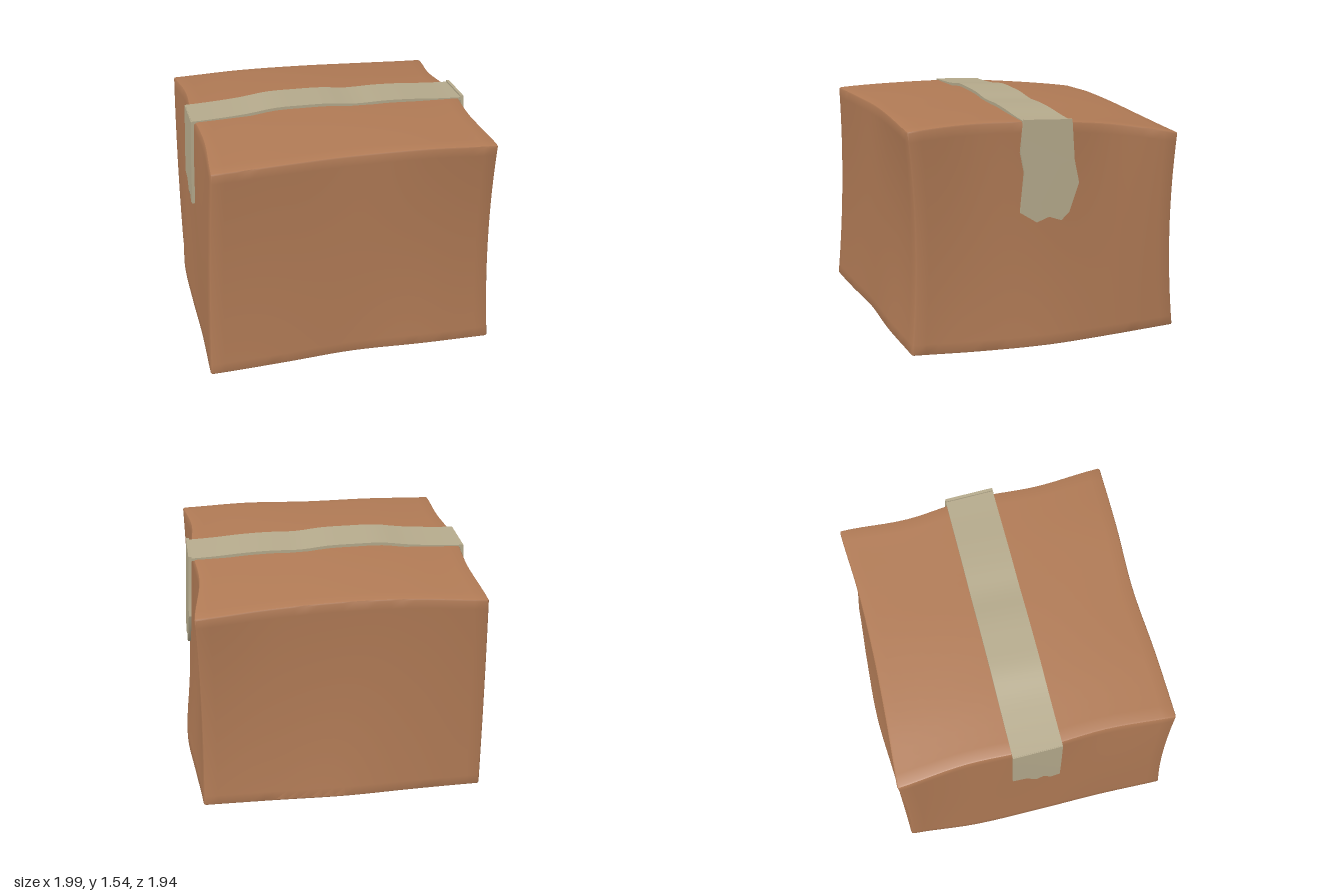
import * as THREE from 'three';
import { toCreasedNormals } from 'three/addons/utils/BufferGeometryUtils.js';

// Each side of the carton is a small relief: three rows, five columns.
const SIDES = {
  right: [[0.94, 0.97, 1.0, 0.98, 0.94], [0.93, 0.915, 0.925, 0.915, 0.92], [0.95, 0.89, 0.915, 0.89, 0.93]], // bottom-top, back-front
  left: [[-0.94, -0.985, -0.99, -0.985, -0.995], [-0.95, -0.95, -0.95, -0.96, -0.97], [-0.94, -0.91, -0.93, -0.91, -0.935]],
  front: [[0.965, 0.965, 0.95, 0.955, 0.925], [0.92, 0.92, 0.91, 0.9, 0.885], [0.93, 0.92, 0.9, 0.92, 0.93]], // bottom-top, left-right
  back: [[-0.92, -0.95, -0.98, -0.96, -0.93], [-0.9, -0.9, -0.9, -0.9, -0.895], [-0.925, -0.9, -0.885, -0.89, -0.92]],
  top: [[1.385, 1.41, 1.41, 1.39, 1.36], [1.485, 1.5, 1.505, 1.495, 1.485], [1.475, 1.49, 1.495, 1.5, 1.48]], // back-front, left-right
  bottom: [[0.02, 0.03, 0.035, 0.03, 0.015], [0.02, 0.025, 0.03, 0.02, 0.003], [0.02, 0.04, 0.055, 0.045, 0.02]],
};

// Smooth curve through evenly spaced values, s from -1 to 1
function curve(values, s) {
  const t = THREE.MathUtils.clamp((s + 1) / 2, 0, 1) * (values.length - 1);
  const i = Math.min(Math.floor(t), values.length - 2);
  const f = t - i;
  const at = (k) => values[THREE.MathUtils.clamp(k, 0, values.length - 1)];
  const [a, b, c, d] = [at(i - 1), at(i), at(i + 1), at(i + 2)];
  return b + 0.5 * f * (c - a + f * (2 * a - 5 * b + 4 * c - d + f * (3 * (b - c) + d - a)));
}

// Height of a side's relief, quadratic across the rows
function relief(side, row, col) {
  const [a, b, c] = SIDES[side].map((values) => curve(values, col));
  return b + (row * (c - a)) / 2 + (row * row * (a + c - 2 * b)) / 2;
}

function bend(geometry, rule) {
  const p = geometry.attributes.position;
  const v = new THREE.Vector3();
  for (let i = 0; i < p.count; i++) {
    v.fromBufferAttribute(p, i);
    rule(v);
    p.setXYZ(i, v.x, v.y, v.z);
  }
  return toCreasedNormals(geometry, 0.55);
}

function cartonGeometry() {
  const n = 26;
  const r = 0.016;
  const inner = new THREE.Vector3();
  const geometry = new THREE.BoxGeometry(2, 2, 2, n, n, n);
  geometry.deleteAttribute('uv');
  return bend(geometry, (v) => {
    // thin worn bevel along the edges
    for (const k of ['x', 'y', 'z']) {
      if (Math.abs(v[k]) < 0.999) v[k] *= (1 - r) / (1 - 2 / n);
      inner[k] = THREE.MathUtils.clamp(v[k], r - 1, 1 - r);
    }
    v.sub(inner).setLength(r).add(inner);
    // warp the cube between opposite reliefs
    const { x, y, z } = v;
    const mix = (a, b, s) => a + ((b - a) * (s + 1)) / 2;
    v.set(
      mix(relief('left', y, z), relief('right', y, z), x),
      mix(relief('bottom', z, x), relief('top', z, x), y),
      mix(relief('back', y, x), relief('front', y, x), z),
    );
  });
}

// Strip across the lid, lifted a little where it has come loose
function stripGeometry() {
  const lift = [1.5, 1.508, 1.522, 1.546, 1.547, 1.543, 1.525, 1.528, 1.522, 1.508, 1.5];
  return bend(new THREE.BoxGeometry(2, 0.02, 0.33, 30, 1, 1), (v) => {
    v.y += curve(lift, v.x) - 0.011 + (v.z - 0.165) * 0.05;
    v.x = v.x * 0.942 - 0.005;
  });
}

// Torn end hanging down one side; outline is given as [z, y]
function tornEndGeometry(outline, side, rule) {
  const shape = new THREE.Shape(outline.map(([z, y]) => new THREE.Vector2(-side * z, y)));
  const geometry = new THREE.ExtrudeGeometry(shape, { depth: 0.02, bevelEnabled: false });
  geometry.rotateY((side * Math.PI) / 2);
  return bend(geometry, (v) => { v.x += side * rule(v.y); });
}

export function createModel() {
  const cardboard = new THREE.MeshStandardMaterial({ color: 0xb07a55 });
  cardboard.name = 'cardboard';
  const tape = new THREE.MeshStandardMaterial({ color: 0xb5aa8c });
  tape.name = 'tape';

  const model = new THREE.Group();
  model.name = 'cardboardBox';
  const add = (name, geometry, material) => {
    const mesh = new THREE.Mesh(geometry, material);
    mesh.name = name;
    model.add(mesh);
  };

  add('carton', cartonGeometry(), cardboard);
  add('tapeStrip', stripGeometry(), tape);

  const leftEnd = [
    [0.165, 1.51], [0.19, 1.3], [0.165, 1.17], [0.195, 0.91], [0.085, 0.84], [0, 0.87],
    [-0.085, 0.84], [-0.14, 0.89], [-0.21, 1.08], [-0.18, 1.23], [-0.165, 1.495],
  ];
  const rightEnd = [
    [0.165, 1.495], [0.165, 1.2], [0.165, 0.89], [0.1, 0.87], [0.05, 0.93], [0, 0.89],
    [-0.07, 0.97], [-0.165, 0.98], [-0.165, 1.2], [-0.165, 1.48],
  ];
  add('tapeEndLeft', tornEndGeometry(leftEnd, 1, (y) => curve([0.95, 0.94, 0.93, 0.922], ((y - 0.84) / 0.67) * 2 - 1)), tape);
  add('tapeEndRight', tornEndGeometry(rightEnd, -1, (y) => curve([0.952, 0.945, 0.932], ((y - 0.87) / 0.63) * 2 - 1)), tape);
  return model;
}
